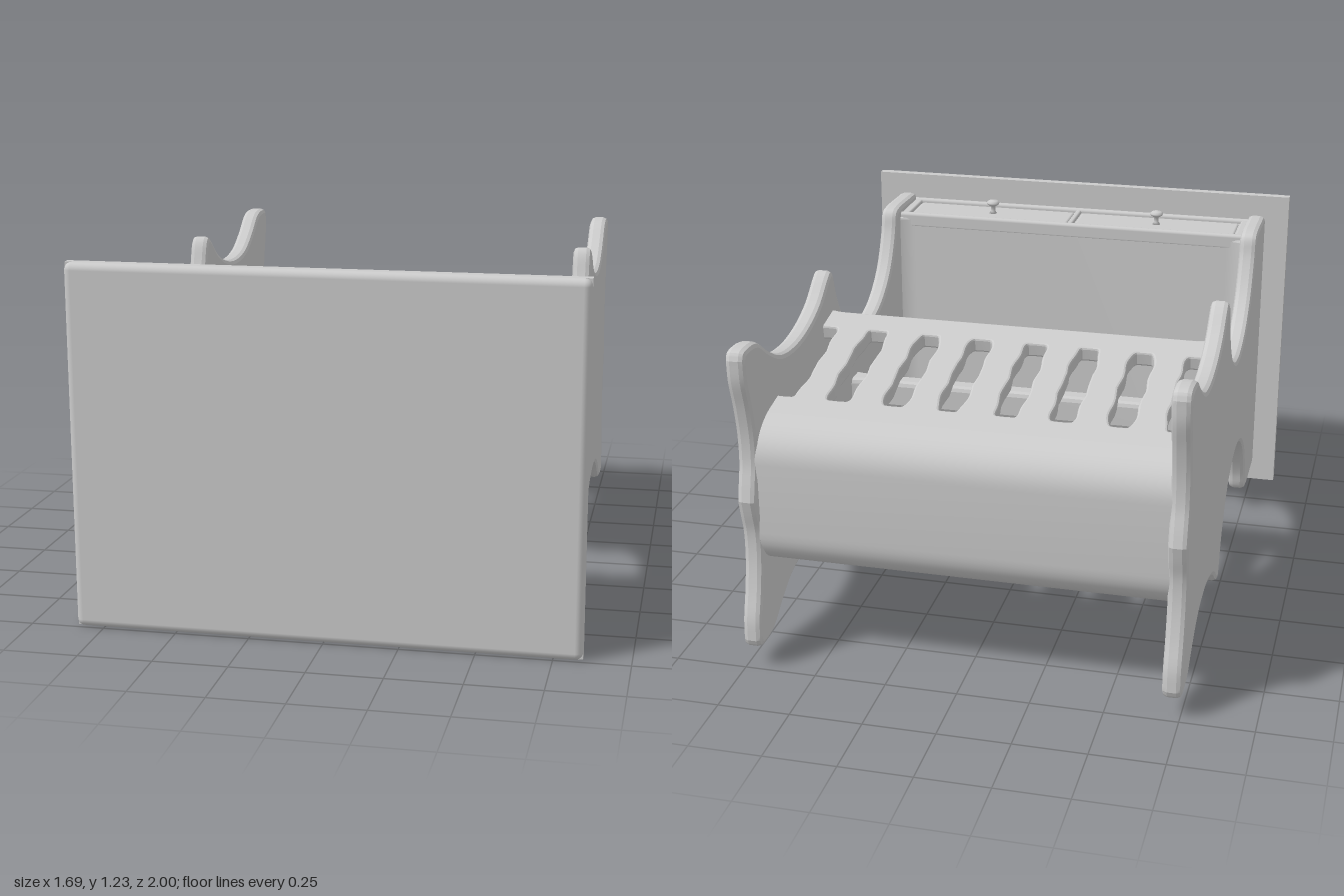
import * as THREE from 'three';
import { RoundedBoxGeometry } from 'three/addons/geometries/RoundedBoxGeometry.js';
import { toCreasedNormals } from 'three/addons/utils/BufferGeometryUtils.js';

const MID = 0.615; // everything mirrors about this height
const material = new THREE.MeshStandardMaterial({ color: 0xcccccc });

function add(parent, name, geometry, x = 0, y = 0, z = 0) {
  const mesh = new THREE.Mesh(geometry, material);
  mesh.name = name;
  mesh.position.set(x, y, z);
  parent.add(mesh);
  return mesh;
}

const box = (w, h, d, r = 0.012) => new RoundedBoxGeometry(w, h, d, 3, r);

// Extrusion with rounded edges that stays inside the drawn outline, centred in depth
function slab(shape, thickness, bevel) {
  const g = new THREE.ExtrudeGeometry(shape, {
    depth: thickness - 2 * bevel, bevelThickness: bevel, bevelSize: bevel,
    bevelOffset: -bevel, bevelSegments: 2, curveSegments: 10,
  });
  g.translate(0, 0, bevel - thickness / 2);
  return toCreasedNormals(g, 0.36);
}

// Scalloped end panel: upper half drawn in (-z, y), lower half mirrored
function endPanelShape() {
  const pieces = [
    [[-0.945, MID], [-0.945, 1.13]],
    [[-0.945, 1.13], [-0.935, 1.15], [-0.91, 1.155]],
    [[-0.91, 1.155], [-0.68, 1.155], [-0.655, 1.14], [-0.635, 1.07], [-0.56, 0.94], [-0.43, 0.845],
      [-0.27, 0.81], [-0.12, 0.84], [0, 0.925], [0.075, 1.04], [0.11, 1.135], [0.135, 1.155],
      [0.17, 1.14], [0.26, 1.075], [0.38, 1.03], [0.52, 1.012], [0.66, 1.03], [0.77, 1.085],
      [0.86, 1.145], [0.94, 1.157], [0.985, 1.15], [0.998, 1.125]],
    [[0.998, 1.125], [0.993, 1.05], [0.965, 0.95], [0.945, 0.84], [0.945, 0.74], [0.962, 0.67], [0.975, MID]],
  ];
  const half = [];
  for (const p of pieces) {
    const curve = new THREE.CatmullRomCurve3(p.map(([u, v]) => new THREE.Vector3(u, v, 0)), false, 'centripetal');
    const pts = curve.getPoints((p.length - 1) * 4);
    half.push(...pts.slice(half.length ? 1 : 0).map(q => new THREE.Vector2(q.x, q.y)));
  }
  const lower = half.slice(1, -1).reverse().map(q => new THREE.Vector2(q.x, 2 * MID - q.y));
  return new THREE.Shape([...half, ...lower]);
}

// Board from z0 (front) to z1 (back), flaring where it meets the end panels
function boardShape(z0, z1, flare = 0.03) {
  const s = new THREE.Shape();
  const a = 0.63, b = 0.735;
  s.moveTo(-a, z0);
  s.lineTo(a, z0);
  s.quadraticCurveTo(0.69, z0, b, z0 + flare);
  s.lineTo(b, z1 - flare);
  s.quadraticCurveTo(0.69, z1, a, z1);
  s.lineTo(-a, z1);
  s.quadraticCurveTo(-0.69, z1, -b, z1 - flare);
  s.lineTo(-b, z0 + flare);
  s.quadraticCurveTo(-0.69, z0, -a, z0);
  return s;
}

// Hand-cut slot with slightly wavy sides
function slot(cx, cz, halfWidth, halfLength, phase) {
  const pts = [];
  const n = 48;
  for (let i = 0; i < n; i++) {
    const t = (i / n) * Math.PI * 2;
    const c = Math.cos(t), s = Math.sin(t);
    const z = Math.sign(s) * Math.pow(Math.abs(s), 0.6) * halfLength;
    const x = Math.sign(c) * Math.pow(Math.abs(c), 0.22) * halfWidth * (1 + 0.1 * Math.sin(z * 38 + phase));
    pts.push(new THREE.Vector2(cx + x, cz + z));
  }
  return new THREE.Path(pts);
}

// Back of the rack in (-z, y - MID): upright panel curling forward at both ends
function rackBackShape() {
  const s = new THREE.Shape();
  s.moveTo(0.79, 0.273);
  s.quadraticCurveTo(0.94, 0.243, 0.94, 0.125);
  s.lineTo(0.94, -0.125);
  s.quadraticCurveTo(0.94, -0.243, 0.79, -0.273);
  s.lineTo(0.78, -0.219);
  s.quadraticCurveTo(0.885, -0.197, 0.885, -0.125);
  s.lineTo(0.885, 0.125);
  s.quadraticCurveTo(0.885, 0.197, 0.78, 0.219);
  return s;
}

export function createModel() {
  const model = new THREE.Group();
  model.name = 'rackTable';

  // Broad flat top panel: square edges behind, rounded in front
  add(model, 'topPanel', box(1.69, 1.23, 0.055, 0.025), 0, MID, 0.9725);
  add(model, 'topPanelBack', new THREE.BoxGeometry(1.69, 1.23, 0.03), 0, MID, 0.96);

  // End panels
  const endGeometry = slab(endPanelShape(), 0.066, 0.018).rotateY(Math.PI / 2);
  for (const side of [-1, 1]) add(model, side > 0 ? 'leftEndPanel' : 'rightEndPanel', endGeometry, side * 0.722);

  // Drawer case with coved corners, framed drawers above and below
  add(model, 'drawerCase', slab(boardShape(0.945, 0.71, 0.04), 1.0, 0.01).rotateX(Math.PI / 2), 0, MID, 0);
  for (const side of [-1, 1]) {
    const drawers = new THREE.Group();
    drawers.name = side > 0 ? 'upperDrawers' : 'lowerDrawers';
    drawers.position.y = MID;
    if (side < 0) drawers.rotation.z = Math.PI;
    model.add(drawers);
    for (const z of [0.722, 0.935]) add(drawers, 'frameRail', box(1.42, 0.06, 0.026), 0, 0.488, z);
    for (const x of [-0.68, 0, 0.68]) add(drawers, 'frameStile', box(x ? 0.04 : 0.022, 0.05, 0.22, 0.008), x, 0.488, 0.828);
    for (const x of [-0.335, 0.335]) {
      add(drawers, 'drawerFront', box(0.64, 0.06, 0.18, 0.01), x, 0.475, 0.829);
      const knob = [[0, 0], [0.016, 0], [0.009, 0.012], [0.009, 0.03], [0.024, 0.04], [0.026, 0.047], [0.018, 0.054], [0, 0.057]];
      add(drawers, 'drawerKnob', new THREE.LatheGeometry(knob.map(p => new THREE.Vector2(...p)), 20), x, 0.503, 0.83);
    }
  }

  // Rack: two splayed slotted boards joined by a curved back
  const hinge = -0.79;
  const board = boardShape(-0.125, -0.8);
  [-0.67, -0.48, -0.288, -0.1, 0.097, 0.285, 0.48, 0.67].forEach((x, i) => {
    board.holes.push(slot(x, -0.473, 0.043, 0.235, i * 1.7));
  });
  const boardGeometry = slab(board, 0.055, 0.008).rotateX(Math.PI / 2).translate(0, 0, -hinge);
  for (const side of [-1, 1]) {
    const name = side > 0 ? 'upperSlattedBoard' : 'lowerSlattedBoard';
    add(model, name, boardGeometry, 0, MID + side * 0.245, hinge).rotation.x = -side * 0.18;
  }
  add(model, 'rackBack', slab(rackBackShape(), 1.42, 0.004).rotateY(Math.PI / 2), 0, MID, 0);

  // Centre stretcher
  add(model, 'stretcher', slab(boardShape(0.12, 0.04), 0.11, 0.018).rotateX(Math.PI / 2), 0, MID, 0);

  return model;
}
